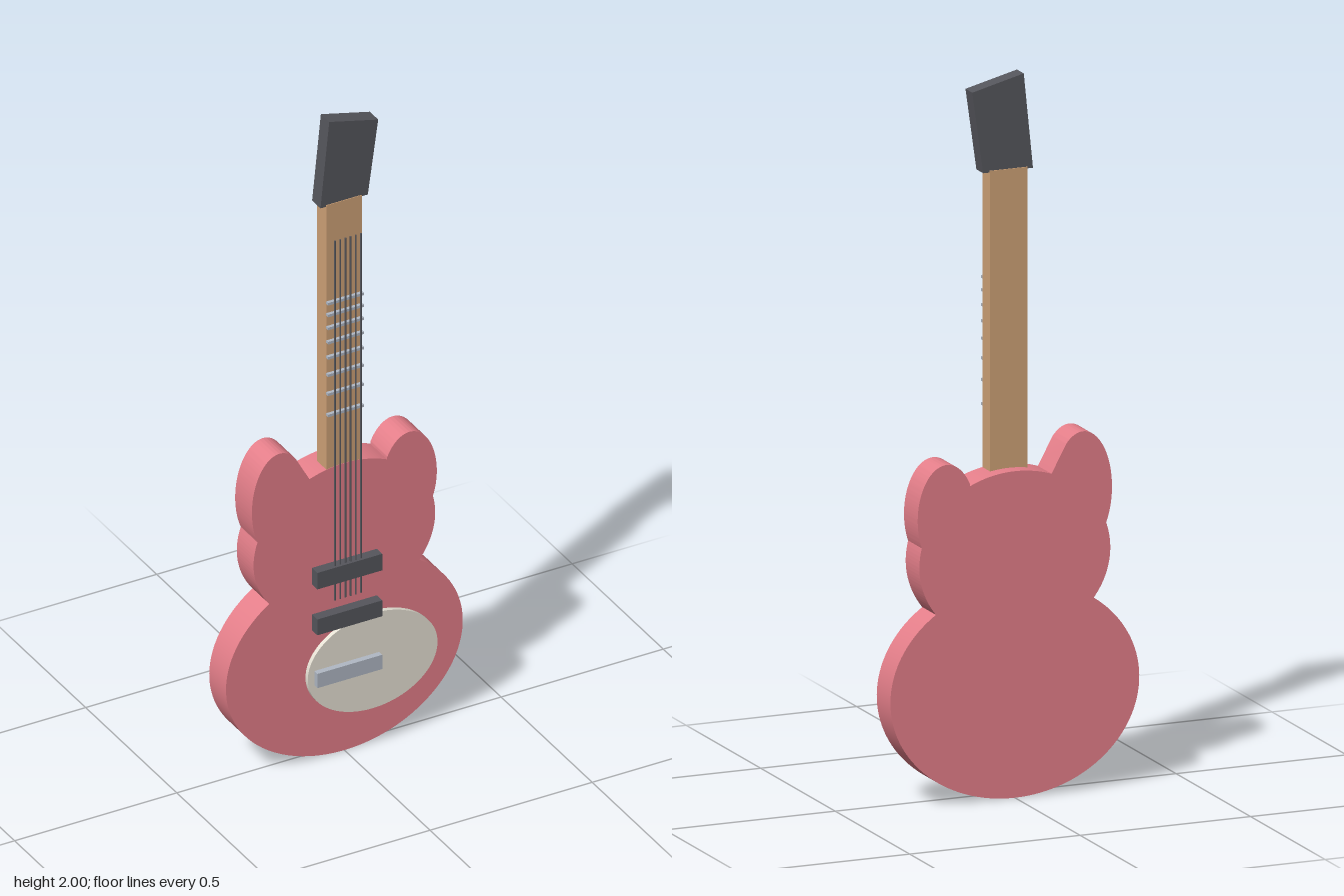
import * as THREE from 'three';
import { toCreasedNormals } from 'three/addons/utils/BufferGeometryUtils.js';

const material = (color) => new THREE.MeshStandardMaterial({ color });

export function createModel() {
  const model = new THREE.Group();
  const pink = material(0xe57f8a);
  const wood = material(0xcfa277);
  const dark = material(0x55565c);
  const cream = material(0xe8e3d6);
  const metal = material(0xb0b8c4);

  const add = (name, geometry, mat, x = 0, y = 0, z = 0) => {
    const mesh = new THREE.Mesh(geometry, mat);
    mesh.name = name;
    mesh.position.set(x, y, z);
    model.add(mesh);
    return mesh;
  };
  // Box given by its lower and upper corners
  const box = (name, mat, [x0, y0, z0], [x1, y1, z1]) =>
    add(name, new THREE.BoxGeometry(x1 - x0, y1 - y0, z1 - z0), mat,
      (x0 + x1) / 2, (y0 + y1) / 2, (z0 + z1) / 2);
  const slab = (shape, depth) => toCreasedNormals(
    new THREE.ExtrudeGeometry(shape, { depth, bevelEnabled: false, curveSegments: 48 }), 0.5);

  // Body outline: elliptical lobes joined counter-clockwise
  const lower = [0, 0.303, 0.365, 0.3];
  const upper = [0, 0.67, 0.28, 0.24];
  const rightHorn = [-0.2, 0.838, 0.085, 0.162];
  const leftHorn = [0.2, 0.8, 0.085, 0.148];
  const outline = new THREE.Shape();
  const arc = ([cx, cy, rx, ry], from, to) => {
    const angle = ([x, y]) => Math.atan2((y - cy) / ry, (x - cx) / rx);
    outline.absellipse(cx, cy, rx, ry, angle(from), angle(to), false);
  };
  arc(lower, [-0.232, 0.535], [0.232, 0.535]);
  arc(upper, [0.232, 0.535], [0.273, 0.724]);
  arc(leftHorn, [0.273, 0.724], [0.132, 0.888]);
  arc(upper, [0.132, 0.882], [-0.107, 0.89]);
  arc(rightHorn, [-0.15, 0.969], [-0.268, 0.74]);
  arc(upper, [-0.268, 0.74], [-0.232, 0.535]);
  add('body', slab(outline, 0.092), pink, 0, 0, -0.062);

  // Pickguard
  const guard = new THREE.Shape();
  guard.absellipse(0.08, 0.268, 0.2, 0.15, 0, Math.PI * 2, false);
  add('pickguard', slab(guard, 0.018), cream, 0, 0, 0.025);

  // Neck and slanted headstock
  box('neck', wood, [-0.055, 0.8, -0.022], [0.055, 1.74, 0.029]);
  const head = new THREE.Shape([[-0.072, 1.735], [0.074, 1.735], [0.106, 1.962], [-0.045, 2]]
    .map(([x, y]) => new THREE.Vector2(x, y)));
  add('headstock', new THREE.ExtrudeGeometry(head, { depth: 0.046, bevelEnabled: false }),
    dark, 0, 0, -0.019);

  // Frets, closer together up the neck
  for (const y of [1.08, 1.147, 1.207, 1.262, 1.31, 1.355, 1.396, 1.433]) {
    box('fret', metal, [-0.055, y - 0.004, 0.028], [0.055, y + 0.004, 0.039]);
  }

  // Pickups and bridge
  box('neckPickup', dark, [-0.1, 0.557, 0.028], [0.1, 0.609, 0.06]);
  box('middlePickup', dark, [-0.1, 0.412, 0.028], [0.1, 0.462, 0.06]);
  box('bridge', metal, [-0.1, 0.245, 0.028], [0.1, 0.29, 0.06]);

  // Six strings
  const string = new THREE.CylinderGeometry(0.0025, 0.0025, 1.135, 8);
  for (let i = 0; i < 6; i++) {
    add('string', string, dark, -0.04 + i * 0.016, 1.0675, 0.05);
  }

  return model;
}
